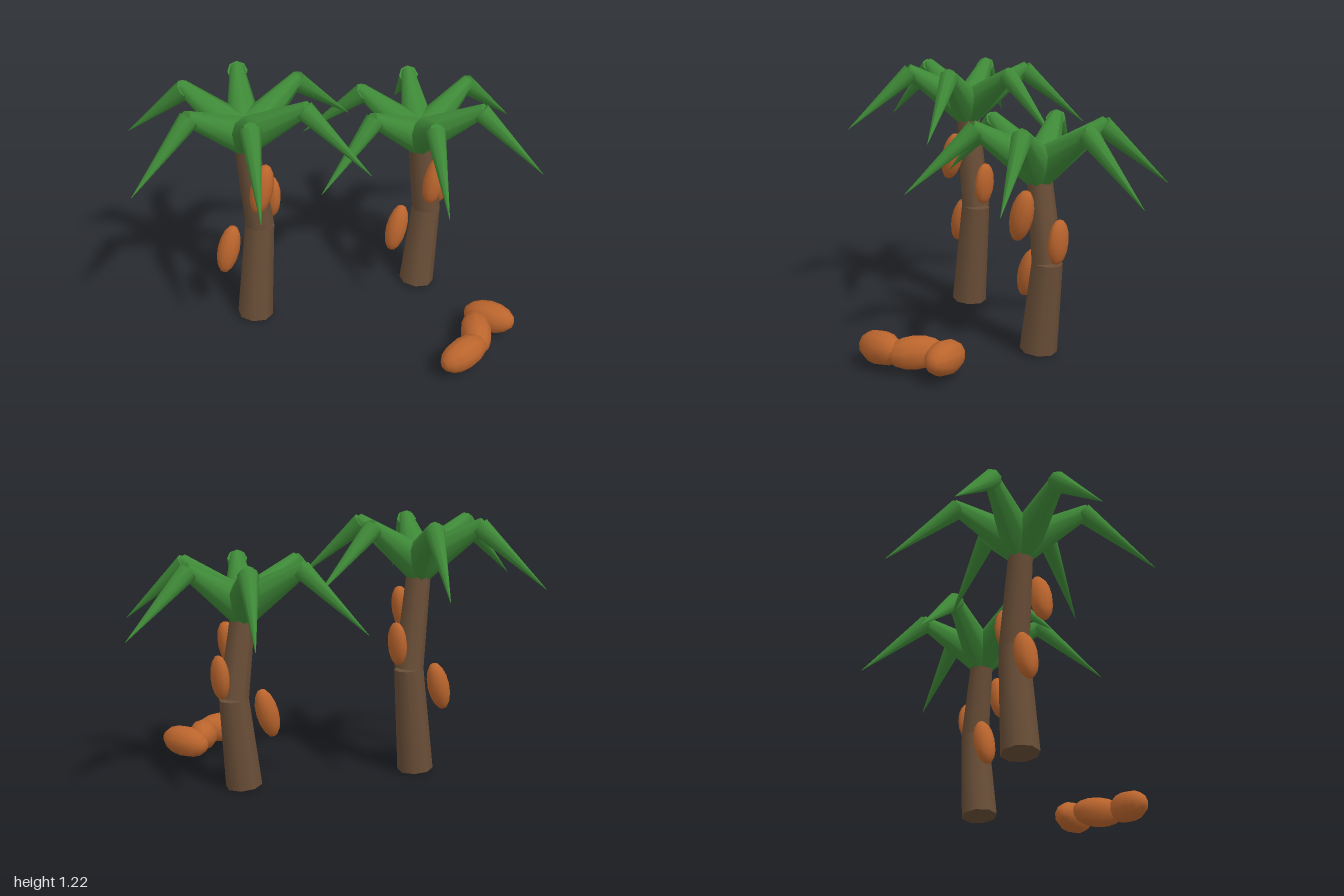
import * as THREE from 'three';

const bark = new THREE.MeshStandardMaterial({ color: 0x694e37 });
bark.name = 'bark brown';
const leaf = new THREE.MeshStandardMaterial({ color: 0x3f8a38 });
leaf.name = 'leaf green';
const husk = new THREE.MeshStandardMaterial({ color: 0xbb652d });
husk.name = 'fruit orange';

const UP = new THREE.Vector3(0, 1, 0);

// Tapered round limb running from a to b
function limb(name, a, b, ra, rb, material) {
  const start = new THREE.Vector3(...a);
  const dir = new THREE.Vector3(...b).sub(start);
  const geo = new THREE.CylinderGeometry(rb, ra, dir.length(), 8);
  const mesh = new THREE.Mesh(geo, material);
  mesh.name = name;
  mesh.position.copy(start).addScaledVector(dir, 0.5);
  mesh.quaternion.setFromUnitVectors(UP, dir.normalize());
  return mesh;
}

// Ellipsoid fruit, long axis along y before rotation
function fruit(name, pos, size, rot) {
  const mesh = new THREE.Mesh(new THREE.SphereGeometry(1, 10, 8), husk);
  mesh.name = name;
  mesh.position.set(...pos);
  mesh.scale.set(...size);
  mesh.rotation.set(...rot);
  return mesh;
}

// Frond rising to an elbow, then drooping to a point
function frond(angle) {
  const g = new THREE.Group();
  g.name = 'frond';
  g.add(limb('innerFrond', [0, 0, 0], [0.305, 0.195, 0], 0.09, 0.032, leaf));
  g.add(limb('outerFrond', [0.285, 0.182, 0], [0.6, -0.09, 0], 0.047, 0.001, leaf));
  g.rotation.y = angle;
  return g;
}

// One tree; k stretches the trunk height
function palm(name, x, z, k) {
  const tree = new THREE.Group();
  tree.name = name;
  const joint = [0.055, 0.51 * k, 0];
  tree.add(limb('lowerTrunk', [0.005, 0.012, 0], joint, 0.085, 0.069, bark));
  tree.add(limb('upperTrunk', joint, [0, 0.97 * k, 0], 0.069, 0.056, bark));

  const crown = new THREE.Group();
  crown.name = 'crown';
  crown.position.y = 1.003 - (1 - k);
  for (let i = 0; i < 6; i++) crown.add(frond(i * Math.PI / 3));
  tree.add(crown);

  // Fruits hanging on the trunk
  tree.add(fruit('frontFruit', [0, 0.77 * k, 0.107], [0.052, 0.122, 0.052], [0, 0, -0.27]));
  tree.add(fruit('leftFruit', [0.125, 0.635 * k, 0.005], [0.036, 0.104, 0.057], [0, 0, -0.08]));
  tree.add(fruit('rightFruit', [-0.1, 0.41 * k, -0.042], [0.052, 0.122, 0.052], [0, 0, -0.3]));
  tree.position.set(x, 0, z);
  return tree;
}

export function createModel() {
  const model = new THREE.Group();
  model.name = 'palmTrees';
  model.add(palm('tallPalm', -0.4, -0.258, 1));
  model.add(palm('shortPalm', 0.395, 0.038, 0.84));

  // Fallen fruits: x, z, heading
  const pile = new THREE.Group();
  pile.name = 'fallenFruits';
  for (const [x, z, heading] of [[0.09, 0.695, 0], [0.24, 0.625, 0.9], [0.376, 0.575, -1.2]]) {
    const holder = new THREE.Group();
    holder.name = 'fallenFruit';
    holder.add(fruit('fruitBody', [0, 0, 0], [0.077, 0.128, 0.073], [0, 0, Math.PI / 2 + 0.08]));
    holder.position.set(x, 0.095, z);
    holder.rotation.y = heading;
    pile.add(holder);
  }
  model.add(pile);
  return model;
}
